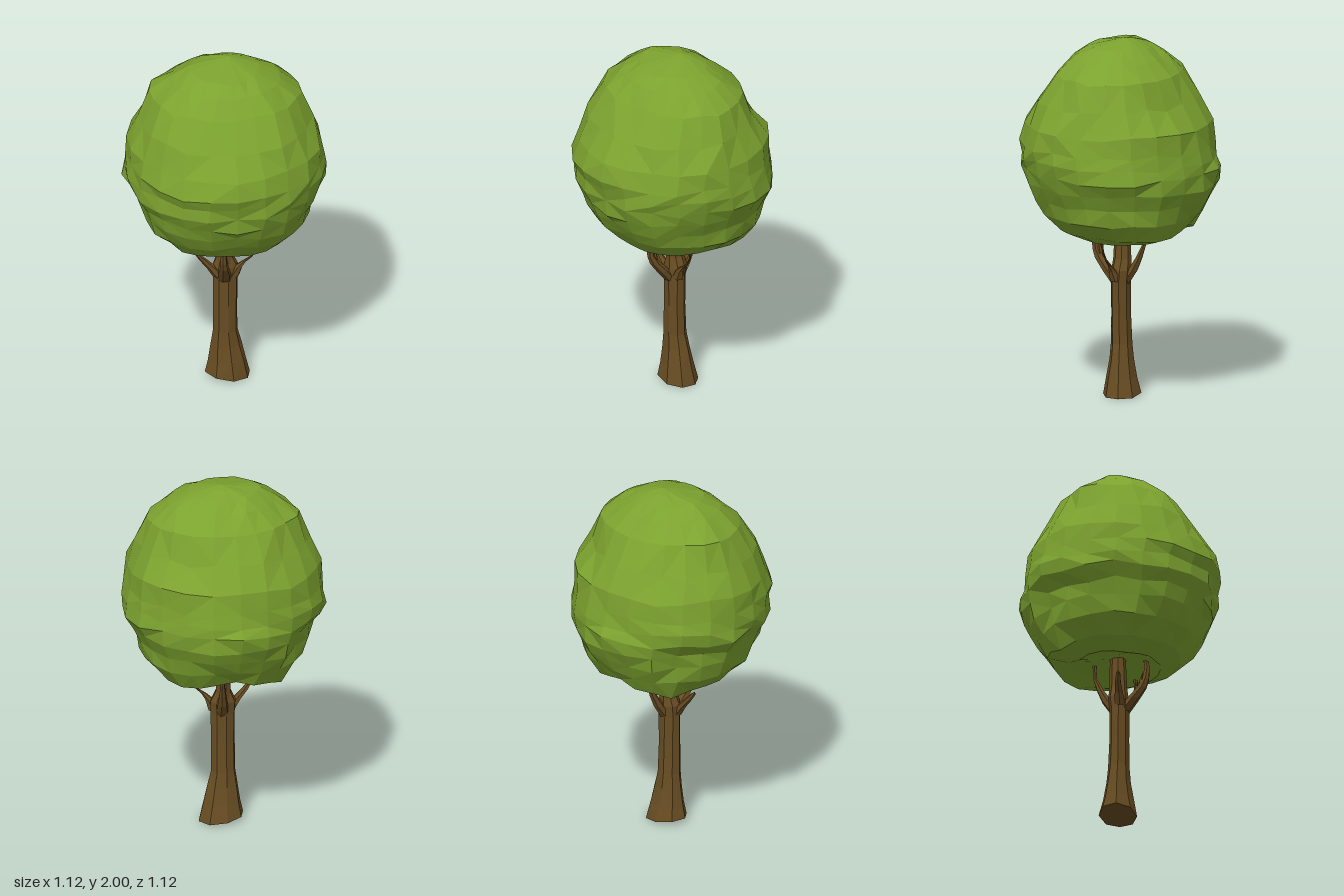
import * as THREE from 'three';

// Seeded random numbers in -1..1
function makeNoise(seed) {
  let s = seed;
  return () => {
    s = (s * 16807) % 2147483647;
    return (s / 2147483647) * 2 - 1;
  };
}

// Faceted skin over horizontal rings [x, y, z, rx, rz], listed from start to tip.
// A ring of zero radius closes the form to a point. adjust(p) may move each corner.
function loft(rings, sides, adjust = () => {}) {
  const grid = rings.map(([x, y, z, rx, rz]) =>
    Array.from({ length: sides }, (_, i) => {
      const a = (i / sides) * Math.PI * 2 + 0.2;
      const p = new THREE.Vector3(x + Math.cos(a) * rx, y, z - Math.sin(a) * rz);
      if (rx > 0) adjust(p, x, z, rx);
      return p;
    }));
  const out = [];
  const tri = (a, b, c) => out.push(...a.toArray(), ...b.toArray(), ...c.toArray());
  for (let j = 0; j < rings.length - 1; j++) {
    for (let i = 0; i < sides; i++) {
      const k = (i + 1) % sides;
      const a = grid[j][i], b = grid[j][k], c = grid[j + 1][k], d = grid[j + 1][i];
      if (rings[j][3] === 0) tri(a, c, d);
      else if (rings[j + 1][3] === 0) tri(a, b, c);
      else if (a.distanceTo(c) < b.distanceTo(d)) { tri(a, b, c); tri(a, c, d); }
      else { tri(a, b, d); tri(b, c, d); }
    }
  }
  const g = new THREE.BufferGeometry();
  g.setAttribute('position', new THREE.Float32BufferAttribute(out, 3));
  g.computeVertexNormals();
  return g;
}

export function createModel() {
  const leaf = new THREE.MeshStandardMaterial({ color: 0x7ca22f });
  leaf.name = 'leaf green';
  const bark = new THREE.MeshStandardMaterial({ color: 0x674c22 });
  bark.name = 'bark brown';

  const tree = new THREE.Group();
  tree.name = 'tree';
  const add = (name, geometry, material) => {
    const m = new THREE.Mesh(geometry, material);
    m.name = name;
    tree.add(m);
  };

  // Trunk: flared foot, straight shaft, slimmer leader running into the crown
  const barkNoise = makeNoise(71);
  add('trunk', loft([
    [0.015, 0.015, -0.015, 0, 0],
    [0.015, 0.015, -0.015, 0.128, 0.104],
    [0.01, 0.1, -0.012, 0.106, 0.084],
    [0.004, 0.2, -0.01, 0.087, 0.066],
    [0, 0.29, -0.007, 0.07, 0.058],
    [0, 0.46, -0.004, 0.067, 0.054],
    [0, 0.63, -0.003, 0.07, 0.054],
    [0, 0.7, -0.008, 0.072, 0.056],
    [-0.002, 0.76, -0.01, 0.044, 0.05],
    [-0.004, 0.86, -0.01, 0.037, 0.046],
    [-0.004, 1.02, -0.01, 0.034, 0.042],
    [-0.004, 1.04, -0.01, 0, 0],
  ], 8, (p, x, z) => {
    const k = 1 + barkNoise() * 0.03;
    p.x = x + (p.x - x) * k;
    p.z = z + (p.z - z) * k;
    // The foot is cut at a slight slope
    if (p.y < 0.05) p.y = THREE.MathUtils.clamp(0.012 - p.x * 0.16, 0, 0.03);
  }), bark);

  // Branches around the fork
  const branches = {
    rightBranch: [[-0.035, 0.64, 0.01, 0.036, 0.035], [-0.08, 0.7, 0.015, 0.027, 0.026],
      [-0.125, 0.75, 0.02, 0.021, 0.018], [-0.155, 0.79, 0.03, 0.013, 0.012], [-0.163, 0.805, 0.03, 0, 0]],
    leftBranch: [[0.04, 0.64, 0.01, 0.038, 0.035], [0.07, 0.7, 0.02, 0.024, 0.022],
      [0.1, 0.733, 0.025, 0.014, 0.009], [0.14, 0.765, 0.03, 0.007, 0.006],
      [0.175, 0.82, 0.035, 0.005, 0.005], [0.185, 0.86, 0.04, 0.008, 0.007],
      [0.19, 0.885, 0.04, 0.018, 0.012], [0.2, 0.95, 0.04, 0.013, 0.012]],
    frontBranch: [[-0.005, 0.62, 0.02, 0.04, 0.035], [-0.01, 0.69, 0.075, 0.036, 0.036],
      [-0.015, 0.75, 0.125, 0.026, 0.03], [-0.02, 0.8, 0.15, 0.02, 0.021],
      [-0.02, 0.87, 0.158, 0.016, 0.016], [-0.015, 0.97, 0.14, 0.012, 0.012]],
    frontTwig: [[-0.015, 0.75, 0.12, 0.015, 0.015], [-0.015, 0.8, 0.125, 0.012, 0.012],
      [-0.015, 0.845, 0.132, 0, 0]],
    backBranch: [[0.005, 0.62, -0.02, 0.04, 0.033], [0.01, 0.7, -0.075, 0.03, 0.03],
      [0.015, 0.77, -0.112, 0.021, 0.021], [0.02, 0.85, -0.145, 0.012, 0.012],
      [0.02, 0.95, -0.15, 0.011, 0.011]],
  };
  for (const [name, rings] of Object.entries(branches)) add(name, loft(rings, 6), bark);

  // Crown: lumpy ball; swells are [x, y, z, reach, outward push, lift]
  const swells = [
    // Front brow, the hollow under it, and the lower fold
    [0.03, 1.41, 0.55, 0.16, 0.02, -0.015],
    [0.03, 1.355, 0.53, 0.13, -0.035, 0.02],
    [-0.05, 1.21, 0.53, 0.24, 0.02, -0.02],
    [-0.05, 1.13, 0.5, 0.24, -0.035, 0.02],
    // Lumps and dips around the waist
    [0.45, 1.13, 0.2, 0.15, -0.03, 0],
    [-0.48, 1.17, 0.12, 0.13, -0.02, 0.02],
    [0.54, 1.27, -0.16, 0.11, 0.025, 0],
    [-0.42, 1.18, -0.27, 0.15, -0.035, 0],
    [-0.46, 1.4, -0.28, 0.15, 0.015, 0],
    // Shoulders at the top and hollows under the lower lobes
    [-0.2, 1.95, 0, 0.12, 0.01, 0.015],
    [0, 0.9, -0.33, 0.18, 0, 0.05],
    [0.3, 0.92, -0.3, 0.16, 0.03, -0.02],
    [-0.28, 0.92, -0.28, 0.16, 0.02, -0.02],
    [0, 0.9, 0.28, 0.15, 0, 0.01],
  ];
  const leafNoise = makeNoise(2024);
  const out = new THREE.Vector3();
  add('crown', loft([
    [0, 0.95, -0.01, 0, 0],
    [0, 0.92, -0.01, 0.12, 0.12],
    [0, 0.885, -0.025, 0.24, 0.25],
    [0, 0.93, -0.03, 0.35, 0.37],
    [0, 1.03, -0.015, 0.455, 0.44],
    [0, 1.12, -0.01, 0.485, 0.49],
    [0, 1.2, -0.003, 0.515, 0.53],
    [-0.003, 1.28, -0.005, 0.553, 0.545],
    [0, 1.35, 0.005, 0.548, 0.54],
    [0, 1.42, 0.018, 0.54, 0.54],
    [0, 1.53, 0.008, 0.53, 0.508],
    [-0.005, 1.66, 0.02, 0.475, 0.435],
    [0, 1.81, 0.005, 0.415, 0.335],
    [0.005, 1.9, 0.01, 0.295, 0.25],
    [0, 1.95, 0.005, 0.19, 0.175],
    [0.01, 1.985, -0.03, 0.07, 0.065],
    [0.02, 2, -0.04, 0, 0],
  ], 22, (p, x, z, rx) => {
    out.set(p.x - x, 0, p.z - z).normalize();
    const rough = Math.min(1, rx * 2);
    let push = leafNoise() * 0.013 * rough;
    let lift = leafNoise() * 0.014 * rough;
    for (const [sx, sy, sz, reach, outward, up] of swells) {
      const d = Math.hypot(p.x - sx, p.y - sy, p.z - sz) / reach;
      const weight = Math.exp(-d * d * 1.5);
      push += outward * weight;
      lift += up * weight;
    }
    p.addScaledVector(out, push);
    p.y += lift;
  }), leaf);

  return tree;
}
